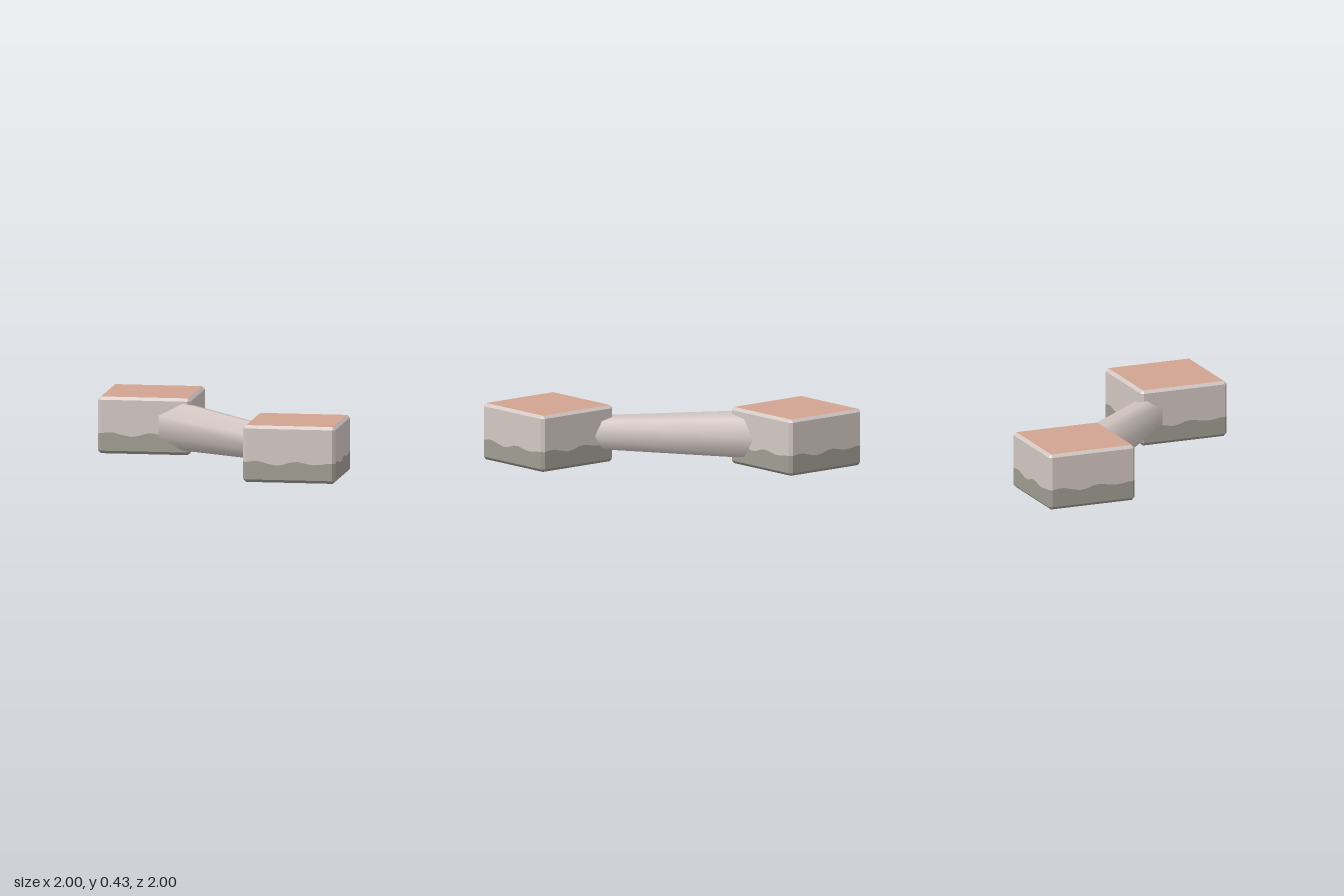
import * as THREE from 'three';

const HALF = 0.3475, HEIGHT = 0.425, BEVEL = 0.022, OFFSET = 0.6525;

const paint = (name, color) => {
  const m = new THREE.MeshStandardMaterial({ color });
  m.name = name;
  return m;
};

// Ragged upper edge of the dirty band: [position along a side, height]
const EDGE = [[0, 0.152], [0.08, 0.16], [0.15, 0.16], [0.25, 0.143], [0.35, 0.13], [0.43, 0.137],
  [0.52, 0.156], [0.6, 0.16], [0.7, 0.147], [0.78, 0.139], [0.87, 0.143], [0.94, 0.151], [1, 0.152]];

// Outline of the block: every point knows its wall position, band height and inset position
function outline() {
  const points = [];
  const flat = HALF - BEVEL;
  for (let side = 0; side < 4; side++) {
    const turn = (x, z) => new THREE.Vector2(x, z).rotateAround(new THREE.Vector2(), -side * Math.PI / 2);
    for (const [u, y] of EDGE) {
      const x = -flat + 2 * flat * u;
      points.push({ wall: turn(x, HALF), inset: turn(x, flat), y });
    }
  }
  return points;
}

// Flat-shaded strip round the outline between two rings
function strip(points, low, high) {
  const pos = [];
  const add = (...corners) => corners.forEach((v) => pos.push(v.x, v.y, v.z));
  points.forEach((p, i) => {
    const q = points[(i + 1) % points.length];
    const a = low(p), b = low(q), c = high(q), d = high(p);
    if (a.distanceTo(b) > 1e-6) add(a, b, c);
    if (c.distanceTo(d) > 1e-6) add(a, c, d);
  });
  const g = new THREE.BufferGeometry();
  g.setAttribute('position', new THREE.Float32BufferAttribute(pos, 3));
  g.computeVertexNormals();
  return g;
}

export function createModel() {
  const model = new THREE.Group();
  model.name = 'linkedBlocks';
  const stone = paint('pale stone', 0xd3c7c3);
  const grime = paint('grey-green grime', 0xa09d92);
  const clay = paint('clay', 0xd2a390);

  const mesh = (parent, name, geometry, material) => {
    const m = new THREE.Mesh(geometry, material);
    m.name = name;
    parent.add(m);
    return m;
  };

  // Shared block surfaces
  const points = outline();
  const at = (v, y) => new THREE.Vector3(v.x, y, v.y);
  const foot = (p) => at(p.inset, 0);
  const base = (p) => at(p.wall, BEVEL);
  const line = (p) => at(p.wall, p.y);
  const shoulder = (p) => at(p.wall, HEIGHT - BEVEL);
  const rim = (p) => at(p.inset, HEIGHT);
  const lowerBevel = strip(points, foot, base);
  const band = strip(points, base, line);
  const wall = strip(points, line, shoulder);
  const upperBevel = strip(points, shoulder, rim);
  const face = new THREE.PlaneGeometry(2 * (HALF - BEVEL), 2 * (HALF - BEVEL));

  // Two blocks on opposite corners
  for (const [name, sign] of [['backBlock', -1], ['frontBlock', 1]]) {
    const block = new THREE.Group();
    block.name = name;
    block.position.set(sign * OFFSET, 0, sign * OFFSET);
    mesh(block, 'lowerBevel', lowerBevel, grime);
    mesh(block, 'grimeBand', band, grime);
    mesh(block, 'wall', wall, stone);
    mesh(block, 'upperBevel', upperBevel, stone);
    const top = mesh(block, 'topFace', face, clay);
    top.rotation.x = -Math.PI / 2;
    top.position.y = HEIGHT;
    mesh(block, 'bottomFace', face, clay).rotation.x = Math.PI / 2;
    model.add(block);
  }

  // Tapered seven-sided bar joining the blocks, with one ridge pointing back-left
  const bar = new THREE.CylinderGeometry(0.12, 0.196, 1.6, 7);
  bar.rotateX(Math.PI / 2);
  bar.rotateZ(-Math.PI / 2); // first ridge turned from -y to the side
  bar.rotateZ(Math.PI);
  const ridge = new THREE.Vector3().fromBufferAttribute(bar.getAttribute('position'), 0);
  if (ridge.x < 0) bar.rotateZ(Math.PI);
  bar.rotateY(Math.PI / 4);
  const link = mesh(model, 'connectingBar', bar, stone);
  link.position.y = 0.2125;

  return model;
}
